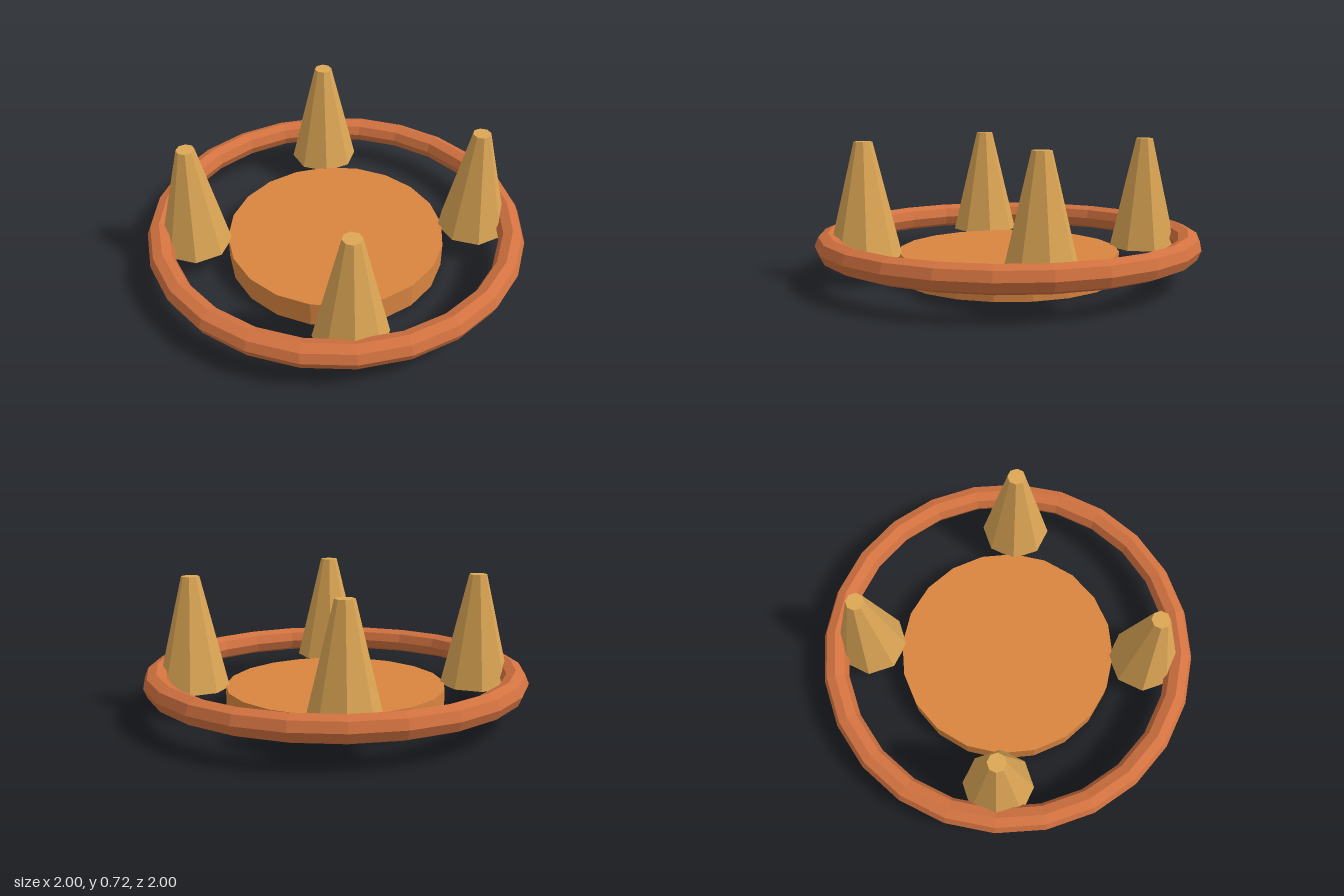
import * as THREE from 'three';

const material = (color) => new THREE.MeshStandardMaterial({ color, flatShading: true });

export function createModel() {
  const model = new THREE.Group();
  model.name = 'spikedRing';

  const add = (name, geometry, mat, x, y, z) => {
    const mesh = new THREE.Mesh(geometry, mat);
    mesh.name = name;
    mesh.position.set(x, y, z);
    model.add(mesh);
    return mesh;
  };

  // Low disc standing on the ground
  add('baseDisc', new THREE.CylinderGeometry(0.58, 0.58, 0.14, 20), material(0xd98540), 0, 0.07, 0);

  // Ring floating around the disc
  const ringGeometry = new THREE.TorusGeometry(0.933, 0.067, 8, 24).rotateX(Math.PI / 2);
  add('ring', ringGeometry, material(0xd27240), 0, 0.19, 0);

  // Four blunt spikes between disc and ring
  const bottom = 0.13, top = 0.716;
  const spikeGeometry = new THREE.CylinderGeometry(0.047, 0.187, top - bottom, 8);
  const spikeMaterial = material(0xdda755);
  ['leftSpike', 'frontSpike', 'rightSpike', 'backSpike'].forEach((name, i) => {
    const a = (i * Math.PI) / 2;
    add(name, spikeGeometry, spikeMaterial, 0.746 * Math.cos(a), (top + bottom) / 2, 0.746 * Math.sin(a));
  });

  return model;
}
